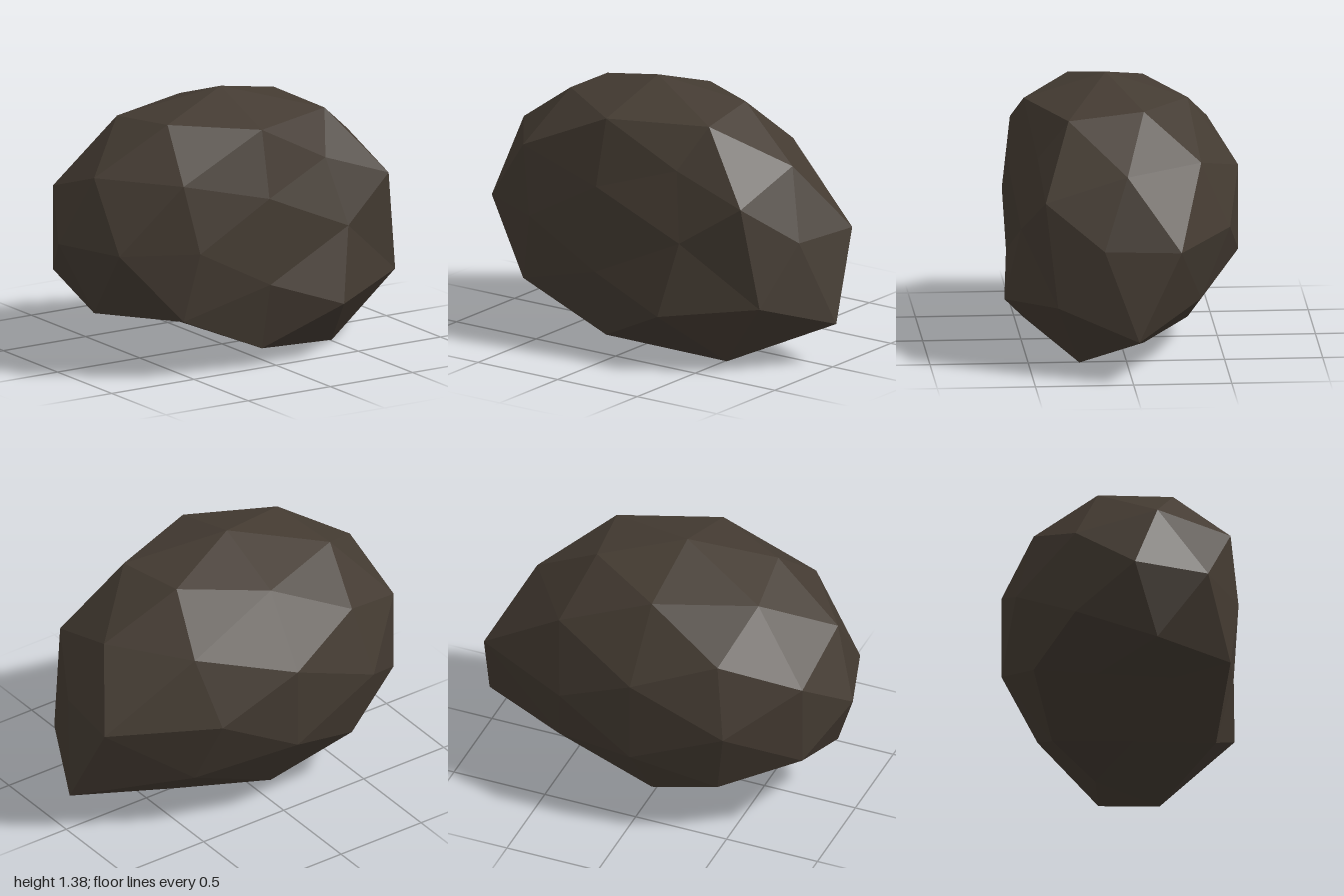
import * as THREE from 'three';

// Worn and pushed-out corners: direction on the ball, then resting position
const CHIPS = [
  // flattened front
  [[0, 0.526, 0.851], [0.34, 1.03, 0.44]],
  [[-0.5, 0.309, 0.809], [-0.08, 0.9, 0.56]],
  [[0, 0, 1], [0.42, 0.68, 0.53]],
  [[-0.851, 0, 0.526], [-0.5, 0.67, 0.56]],
  [[-0.5, -0.309, 0.809], [-0.08, 0.45, 0.57]],
  // bulging left side
  [[1, 0, 0], [0.94, 0.67, -0.25]],
  [[0.809, -0.5, 0.309], [1.0, 0.22, -0.03]],
  [[0.5, -0.309, 0.809], [0.81, 0.36, 0.37]],
  // flattened underside
  [[0.309, -0.809, 0.5], [0.51, 0, 0.24]],
  [[-0.309, -0.809, -0.5], [-0.5, 0.26, -0.16]],
  [[-0.526, -0.851, 0], [-0.48, 0.26, 0.23]],
  [[0, -1, 0], [-0.05, 0.1, 0.065]],
].map(([dir, pos]) => ({
  dir: new THREE.Vector3(...dir),
  pos: new THREE.Vector3(...pos),
}));

// Stretch and skew the faceted ball into a boulder, then apply the chips
function shapeCorner(v) {
  const chip = CHIPS.find((c) => c.dir.distanceTo(v) < 0.05);
  if (chip) return chip.pos;
  return new THREE.Vector3(
    -0.05 + 0.82 * v.x + 0.46 * v.z,
    0.67 + 0.71 * v.y,
    0.065 - 0.31 * v.x + 0.64 * v.z
  );
}

export function createModel() {
  const stone = new THREE.MeshStandardMaterial({ color: 0x443b32 });
  stone.name = 'dark brown stone';
  stone.flatShading = true;

  const geometry = new THREE.IcosahedronGeometry(1, 1);
  const position = geometry.attributes.position;
  const v = new THREE.Vector3();
  for (let i = 0; i < position.count; i++) {
    const p = shapeCorner(v.fromBufferAttribute(position, i));
    position.setXYZ(i, p.x, p.y, p.z);
  }
  geometry.computeVertexNormals();

  const boulder = new THREE.Mesh(geometry, stone);
  boulder.name = 'boulder';
  const group = new THREE.Group();
  group.name = 'rock';
  group.add(boulder);
  return group;
}
